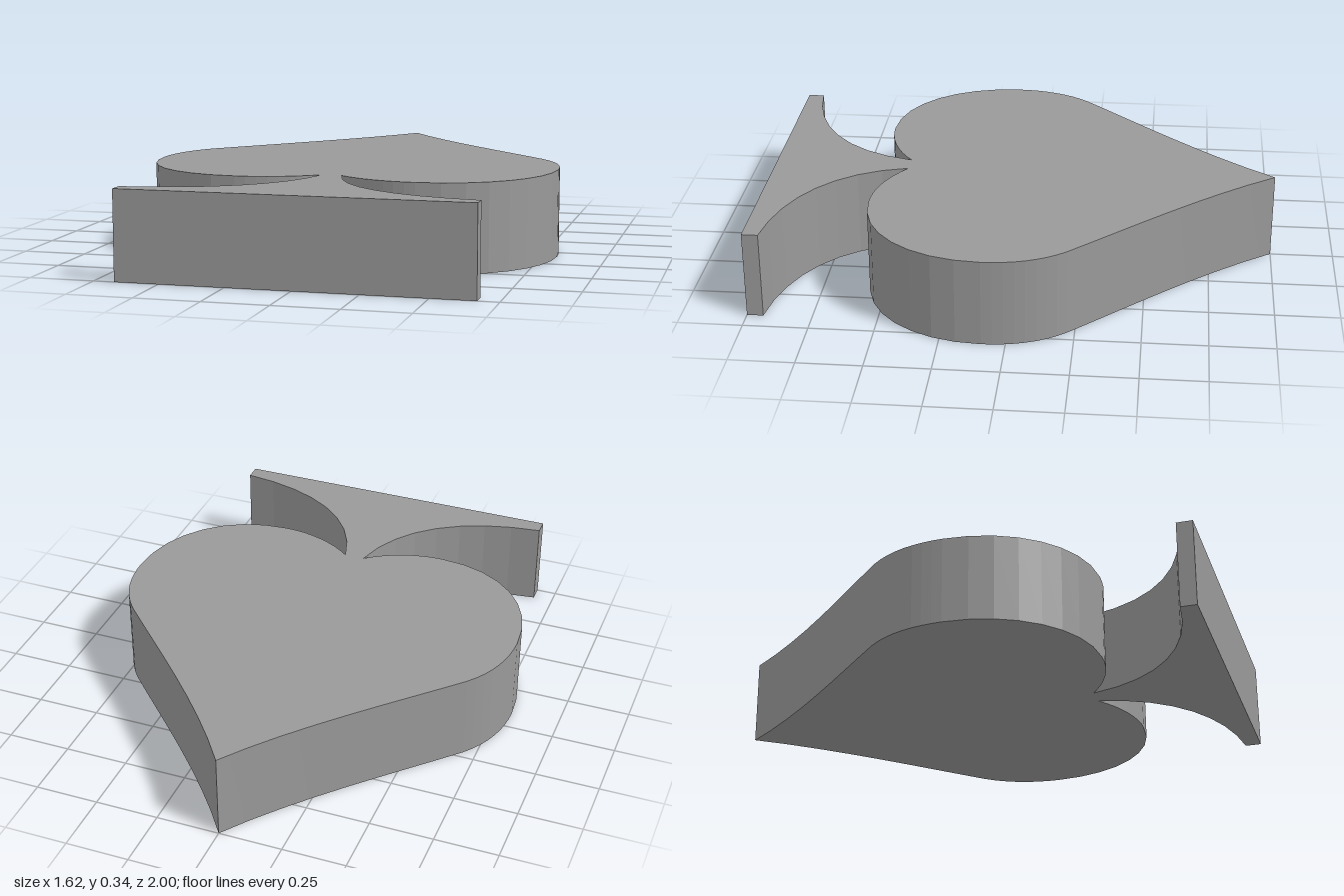
import * as THREE from 'three';
import { toCreasedNormals } from 'three/addons/utils/BufferGeometryUtils.js';

const HEIGHT = 0.343;

export function createModel() {
  const group = new THREE.Group();
  group.name = 'spadeToken';

  // Right half of the outline, from the tip to the foot (x, z)
  const half = new THREE.Path();
  half.moveTo(0, -1);
  half.bezierCurveTo(0.2, -0.71, 0.5, -0.43, 0.70, -0.22);   // long flank
  half.bezierCurveTo(0.78, -0.13, 0.81, -0.02, 0.81, 0.09);  // shoulder
  half.bezierCurveTo(0.81, 0.36, 0.62, 0.572, 0.35, 0.572);  // round lobe
  half.bezierCurveTo(0.24, 0.575, 0.12, 0.53, 0.04, 0.46);   // lobe into neck
  half.bezierCurveTo(0.10, 0.75, 0.34, 0.91, 0.67, 0.937);   // flared stem
  half.lineTo(0.67, 1);                                      // foot edge
  const right = half.getPoints(8);

  // Mirror the half, skipping the shared tip; shape y is -z
  const left = right.slice(1).reverse().map((p) => new THREE.Vector2(-p.x, p.y));
  const outline = [...right, ...left].map((p) => new THREE.Vector2(p.x, -p.y));

  // Extrude the outline and lay it flat on the ground
  const geometry = new THREE.ExtrudeGeometry(new THREE.Shape(outline), {
    depth: HEIGHT,
    bevelEnabled: false,
  });
  geometry.rotateX(-Math.PI / 2);

  const body = new THREE.Mesh(
    toCreasedNormals(geometry, 0.05),
    new THREE.MeshStandardMaterial({ color: 0x999999 }),
  );
  body.name = 'spadeBody';
  group.add(body);
  return group;
}
